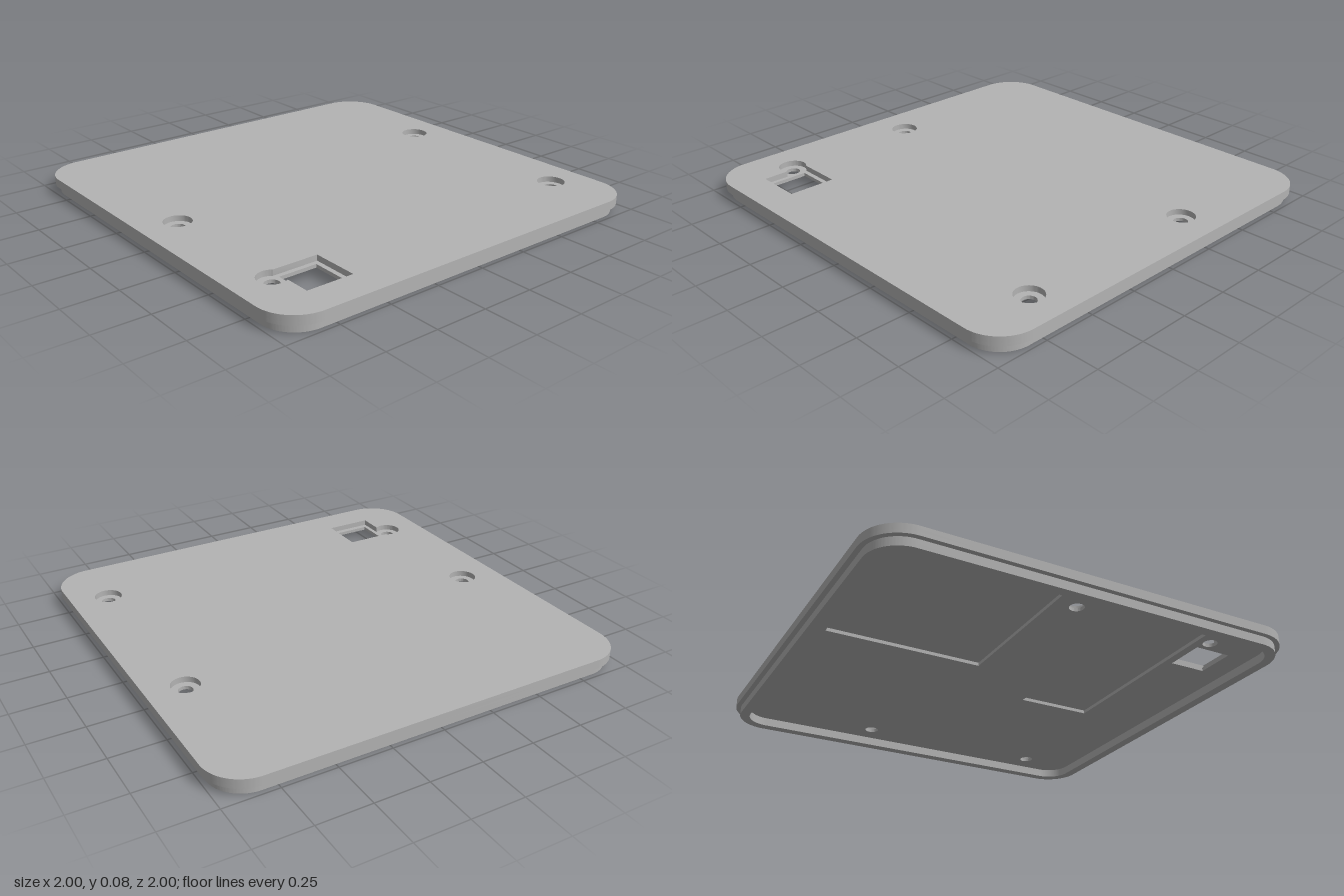
import * as THREE from 'three';
import { toCreasedNormals } from 'three/addons/utils/BufferGeometryUtils.js';

const FLOOR = 0.04, SPLIT = 0.056, TOP = 0.083;
const SCREWS = [[-0.28, -0.82], [0.665, -0.82], [-0.03, 0.815], [0.665, 0.815]];

// Outlines are drawn with shape x = x and shape y = z
function roundedSquare(h, r, Type = THREE.Shape) {
  const s = new Type();
  s.absarc(h - r, h - r, r, 0, Math.PI / 2);
  s.absarc(r - h, h - r, r, Math.PI / 2, Math.PI);
  s.absarc(r - h, r - h, r, Math.PI, Math.PI * 1.5);
  s.absarc(h - r, r - h, r, Math.PI * 1.5, Math.PI * 2);
  s.closePath();
  return s;
}

function rect(x0, x1, z0, z1) {
  return new THREE.Path([[x0, z0], [x1, z0], [x1, z1], [x0, z1], [x0, z0]]
    .map(([x, z]) => new THREE.Vector2(x, z)));
}

function circle([x, z], r) {
  return new THREE.Path().absarc(x, z, r, 0, Math.PI * 2);
}

// Square window recess running into the neighbouring screw recess
function windowRecess([cx, cz], r) {
  const x0 = 0.615, x1 = 0.84, z0 = 0.555, z1 = 0.78;
  const start = Math.atan2(z1 - cz, Math.sqrt(r * r - (z1 - cz) ** 2));
  const dx = x0 - cx;
  const end = Math.atan2(-Math.sqrt(r * r - dx * dx), dx) + Math.PI * 2;
  const p = new THREE.Path();
  p.moveTo(x0, z0);
  p.lineTo(x1, z0);
  p.lineTo(x1, z1);
  p.absarc(cx, cz, r, start, end, false);
  p.lineTo(x0, z0);
  return p;
}

function slab(name, shape, holes, y0, y1, material) {
  shape.holes.push(...holes);
  const geo = new THREE.ExtrudeGeometry(shape, { depth: y1 - y0, bevelEnabled: false, curveSegments: 20 });
  geo.rotateX(Math.PI / 2).translate(0, y1, 0);
  const mesh = new THREE.Mesh(toCreasedNormals(geo, 0.6), material);
  mesh.name = name;
  return mesh;
}

export function createModel() {
  const grey = new THREE.MeshStandardMaterial({ color: 0xb3b3b3 });
  grey.name = 'plain grey';
  const group = new THREE.Group();
  group.name = 'coverPlate';

  // Upper layer: wide screw recesses and window recess
  group.add(slab('upperPlate', roundedSquare(1, 0.18), [
    ...SCREWS.slice(0, 3).map((c) => circle(c, 0.065)),
    windowRecess(SCREWS[3], 0.065),
  ], SPLIT, TOP, grey));

  // Lower layer: through holes, window and two shallow pockets underneath
  group.add(slab('lowerPlate', roundedSquare(1, 0.18), [
    ...SCREWS.map((c) => circle(c, 0.033)),
    rect(0.637, 0.813, 0.577, 0.76),
    rect(0.237, 0.598, -0.105, 0.868),
    rect(-0.878, -0.135, 0.135, 0.876),
  ], FLOOR, SPLIT, grey));

  // Locating lip around the underside
  group.add(slab('lip', roundedSquare(0.977, 0.157),
    [roundedSquare(0.93, 0.11, THREE.Path)], 0, FLOOR, grey));

  return group;
}
